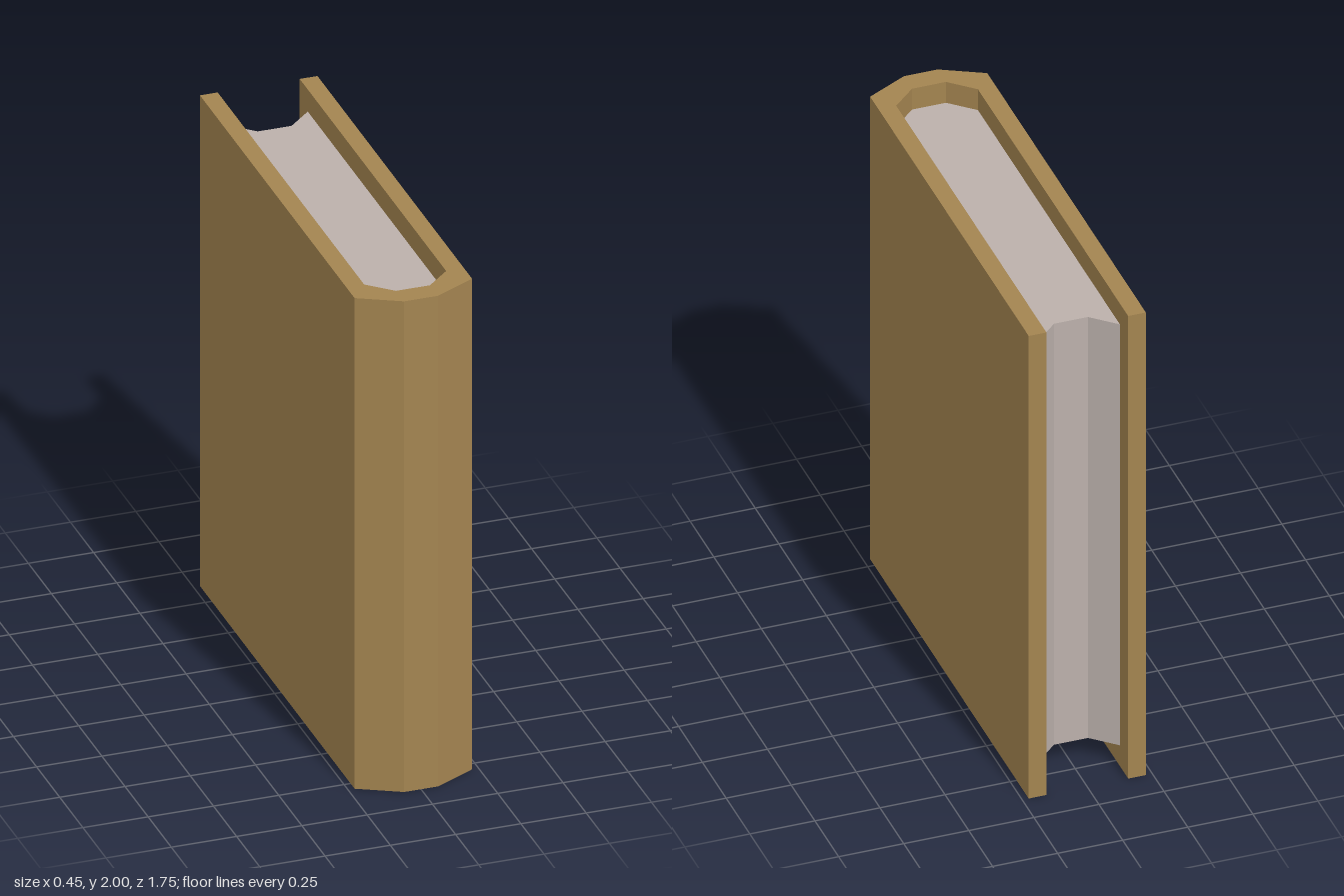
import * as THREE from 'three';

// Extrudes a mirrored outline upward; half lists [x, z] points on the +x side.
function prism(name, half, bottom, top, material) {
  const mirrored = half.map(([x, z]) => [-x, z]).reverse();
  const points = [...half, ...mirrored].map(([x, z]) => new THREE.Vector2(x, -z));
  const geometry = new THREE.ExtrudeGeometry(new THREE.Shape(points), {
    depth: top - bottom,
    bevelEnabled: false,
  });
  geometry.rotateX(-Math.PI / 2);
  geometry.translate(0, bottom, 0);
  const mesh = new THREE.Mesh(geometry, material);
  mesh.name = name;
  return mesh;
}

export function createModel() {
  const leather = new THREE.MeshStandardMaterial({ color: 0xa38450 });
  leather.name = 'tan cover';
  const paper = new THREE.MeshStandardMaterial({ color: 0xbbb0ab });
  paper.name = 'grey paper';

  const book = new THREE.Group();
  book.name = 'book';

  // Inner face of the spine, shared by the cover and the pages
  const spineInside = [[0.157, 0.705], [0.065, 0.79]];

  // Two boards joined by a faceted spine, open at the back
  const cover = [
    [0.065, 0.877], [0.225, 0.793], [0.225, -0.877], [0.157, -0.877], ...spineInside,
  ];
  // The outline runs round the outside, then back along the inside
  book.add(prism('cover', cover, 0, 2, leather));

  // Page block, hollowed at the back edge and set in from top and bottom
  const pages = [[0.065, -0.705], [0.157, -0.79], ...spineInside];
  book.add(prism('pages', pages, 0.09, 1.91, paper));

  return book;
}
